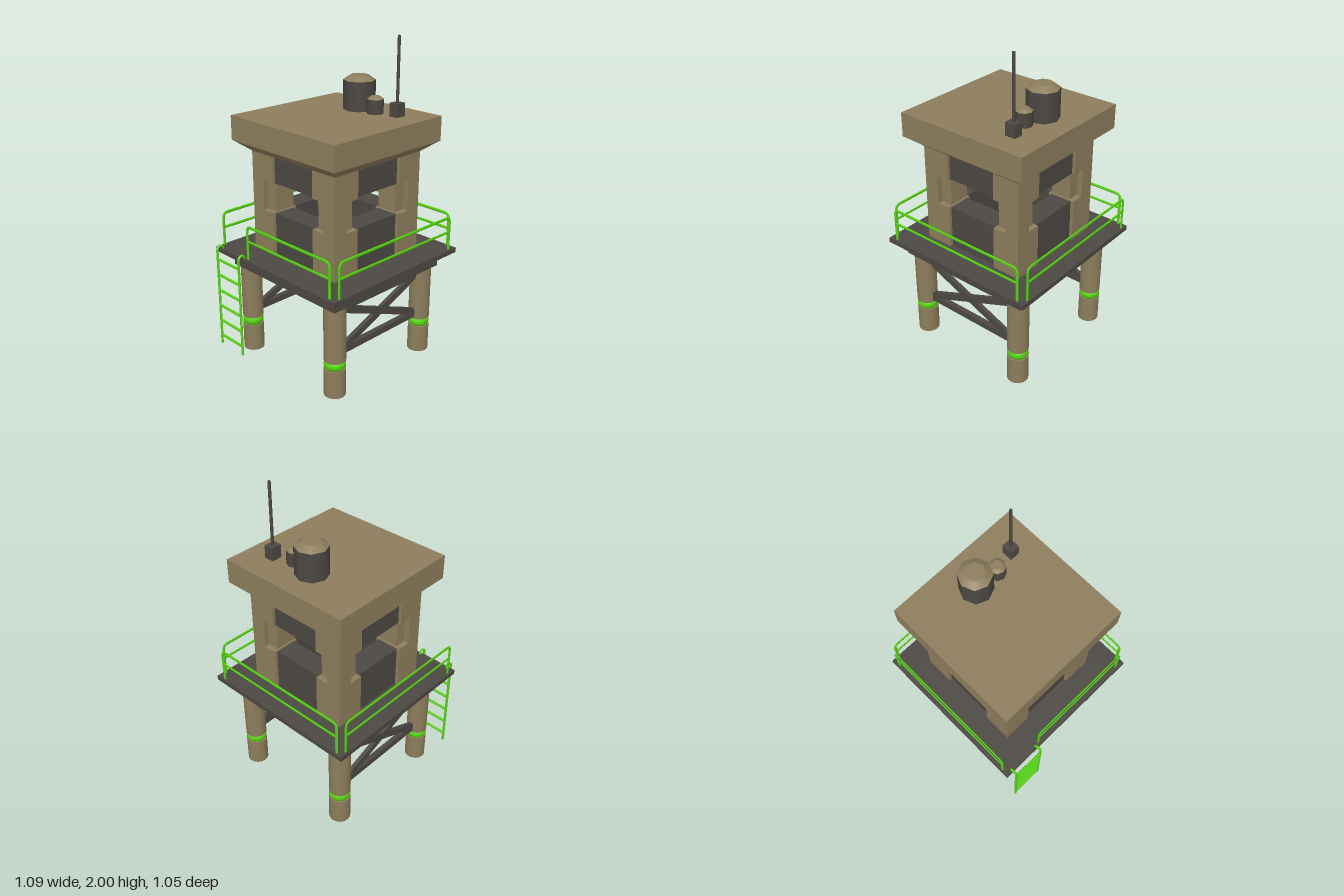
import * as THREE from 'three';

const mat = (name, color, side = THREE.FrontSide) => {
  const m = new THREE.MeshStandardMaterial({ color, side });
  m.name = name;
  return m;
};

export function createModel() {
  const tan = mat('tan', 0x8c7d5c);
  const dark = mat('dark grey', 0x4c4843);
  const green = mat('green', 0x55d50f);
  const model = new THREE.Group();
  const CX = 0.016; // centre line of the tower

  const add = (name, geo, material, x = 0, y = 0, z = 0, parent = model) => {
    const m = new THREE.Mesh(geo, material);
    m.name = name;
    m.position.set(x, y, z);
    parent.add(m);
    return m;
  };
  const box = (name, material, x0, x1, y0, y1, z0, z1, parent = model) =>
    add(name, new THREE.BoxGeometry(x1 - x0, y1 - y0, z1 - z0), material,
      (x0 + x1) / 2, (y0 + y1) / 2, (z0 + z1) / 2, parent);
  const cyl = (name, material, r, y0, y1, x, z, n = 16, parent = model) =>
    add(name, new THREE.CylinderGeometry(r, r, y1 - y0, n), material, x, (y0 + y1) / 2, z, parent);

  const tower = new THREE.Group();
  tower.name = 'tower';
  tower.position.x = CX;
  model.add(tower);

  // Legs with a narrow neck and a green ring
  const ring = [[0.05, -0.026], [0.056, -0.026], [0.065, -0.01], [0.065, 0.01], [0.056, 0.026], [0.05, 0.026]]
    .map(p => new THREE.Vector2(...p));
  for (const sx of [-1, 1]) for (const sz of [-1, 1]) {
    const x = sx * 0.374, z = sz * 0.375;
    cyl('legFoot', tan, 0.066, 0, 0.176, x, z, 16, tower);
    cyl('legNeck', tan, 0.052, 0.17, 0.24, x, z, 16, tower);
    cyl('legUpper', tan, 0.066, 0.23, 0.585, x, z, 16, tower);
    add('legRing', new THREE.LatheGeometry(ring, 16), green, x, 0.203, z, tower);
  }

  // Cross bracing on the front and back
  for (const z of [-0.375, 0.375]) {
    box('braceTop', dark, -0.34, 0.34, 0.526, 0.57, z - 0.016, z + 0.016, tower);
    box('braceBottom', dark, -0.34, 0.34, 0.246, 0.286, z - 0.016, z + 0.016, tower);
    for (const s of [-1, 1]) {
      const d = add('braceDiagonal', new THREE.BoxGeometry(0.69, 0.042, 0.026), dark, 0, 0.406, z, tower);
      d.rotation.z = s * Math.atan2(0.25, 0.62);
    }
  }

  // Platform
  box('platformFrame', dark, -0.446, 0.446, 0.58, 0.672, -0.446, 0.446, tower);
  box('deck', dark, -0.525, 0.525, 0.67, 0.7, -0.524, 0.524, tower);

  // Cabin corner pillars, stepped back beside the windows
  const H = 0.351;
  for (const sx of [-1, 1]) for (const sz of [-1, 1]) {
    const block = (name, near, far, y0, y1) => box(name, tan,
      Math.min(sx * near, sx * far), Math.max(sx * near, sx * far), y0, y1,
      Math.min(sz * near, sz * far), Math.max(sz * near, sz * far), tower);
    block('pillarLower', 0.171, H, 0.7, 0.97);
    block('pillarUpper', 0.171, H, 1.155, 1.325);
    block('pillarCorner', 0.255, H, 0.97, 1.155);
    block('pillarWindowStep', 0.182, H - 0.035, 0.97, 1.155);
  }

  // Dark wall panels under and over each window
  for (let i = 0; i < 4; i++) {
    const side = new THREE.Group();
    side.name = 'wallSide';
    side.rotation.y = i * Math.PI / 2;
    tower.add(side);
    box('panelLower', dark, -0.175, 0.175, 0.7, 0.965, 0.19, H - 0.02, side);
    box('panelUpper', dark, -0.175, 0.175, 1.155, 1.325, 0.19, H - 0.02, side);
  }

  // Roof slab with sloping eaves
  const eaves = new THREE.CylinderGeometry(0.433 * Math.SQRT2, H * Math.SQRT2, 0.065, 4).toNonIndexed();
  eaves.rotateY(Math.PI / 4);
  eaves.computeVertexNormals();
  add('roofEaves', eaves, tan, 0, 1.3535, 0, tower);
  box('roof', tan, -0.434, 0.434, 1.385, 1.535, -0.434, 0.434, tower);

  // Railings: a rounded hoop, flattened in depth, with a mid rail
  const railing = (length, x, z, turn) => {
    const g = new THREE.Group();
    g.name = 'railing';
    const h = length / 2, r = 0.035, top = 0.912;
    const V = (a, b) => new THREE.Vector3(a, b, 0);
    const path = new THREE.CurvePath();
    path.add(new THREE.LineCurve3(V(-h, 0.695), V(-h, top - r)));
    path.add(new THREE.QuadraticBezierCurve3(V(-h, top - r), V(-h, top), V(-h + r, top)));
    path.add(new THREE.LineCurve3(V(-h + r, top), V(h - r, top)));
    path.add(new THREE.QuadraticBezierCurve3(V(h - r, top), V(h, top), V(h, top - r)));
    path.add(new THREE.LineCurve3(V(h, top - r), V(h, 0.695)));
    add('railHoop', new THREE.TubeGeometry(path, 160, 0.01, 8), green, 0, 0, 0, g);
    const mid = new THREE.CylinderGeometry(0.009, 0.009, length, 8).rotateZ(Math.PI / 2);
    add('railMiddle', mid, green, 0, 0.817, 0, g);
    g.scale.z = 0.5;
    g.position.set(x, 0, z);
    g.rotation.y = turn;
    model.add(g);
  };
  railing(0.94, CX, 0.507, 0);
  railing(0.94, CX, -0.509, 0);
  railing(0.945, 0.527, -0.005, Math.PI / 2);
  railing(0.7, -0.488, 0.118, Math.PI / 2);

  // Ladder hooked over the deck edge
  const ladder = new THREE.Group();
  ladder.name = 'ladder';
  model.add(ladder);
  const hook = new THREE.CurvePath();
  const P = (x, y) => new THREE.Vector3(x, y, 0);
  hook.add(new THREE.LineCurve3(P(-0.538, 0.05), P(-0.538, 0.69)));
  hook.add(new THREE.CubicBezierCurve3(P(-0.538, 0.69), P(-0.538, 0.732), P(-0.493, 0.732), P(-0.493, 0.695)));
  for (const z of [-0.474, -0.264]) {
    const rail = add('ladderRail', new THREE.TubeGeometry(hook, 90, 0.0065, 8), green, 0, 0, z, ladder);
    rail.scale.z = 1.4;
  }
  for (let i = 0; i < 6; i++) {
    const rung = new THREE.CylinderGeometry(0.008, 0.008, 0.21, 8).rotateX(Math.PI / 2);
    add('ladderRung', rung, green, -0.538, 0.11 + i * 0.106, -0.369, ladder);
  }

  // Rooftop tanks with chamfered lids
  const tank = (x, z, r, wallTop, lidTop) => {
    cyl('tankBody', dark, r, 1.53, wallTop, x, z, 8);
    const lid = new THREE.CylinderGeometry(r * 0.58, r, lidTop - wallTop, 8);
    add('tankLid', lid, tan, x, (wallTop + lidTop) / 2, z);
  };
  tank(0.234, -0.024, 0.098, 1.712, 1.74);
  tank(0.218, 0.122, 0.05, 1.622, 1.638);

  // Antenna
  box('antennaBase', dark, 0.222, 0.29, 1.53, 1.615, 0.23, 0.29);
  cyl('antennaMast', dark, 0.009, 1.61, 2, 0.256, 0.26, 8);

  return model;
}
